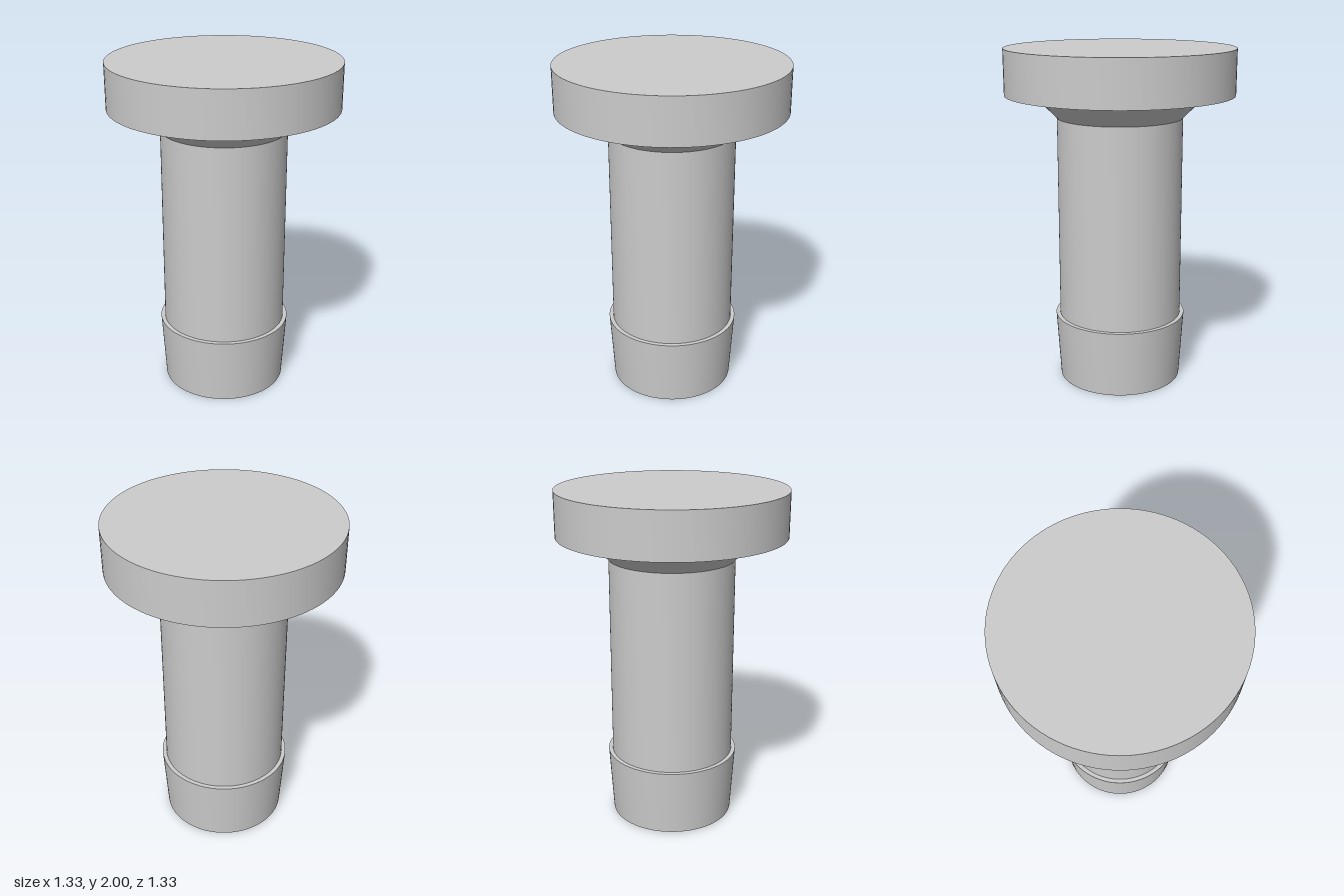
import * as THREE from 'three';
import { toCreasedNormals } from 'three/addons/utils/BufferGeometryUtils.js';

const SEGMENTS = 96;

// Turned part from a [radius, height] profile running bottom to top, with sharp rims
function turned(name, profile, material) {
  const points = profile.map(([r, y]) => new THREE.Vector2(r, y));
  const geometry = toCreasedNormals(new THREE.LatheGeometry(points, SEGMENTS), Math.PI / 9);
  const mesh = new THREE.Mesh(geometry, material);
  mesh.name = name;
  return mesh;
}

export function createModel() {
  const material = new THREE.MeshStandardMaterial({ color: 0xcccccc });
  const shaftR = 0.367, barbR = 0.392, neckR = 0.5, headR = 0.667;
  const barbTop = 0.4, shaftTop = 1.6, headBottom = 1.735, headTop = 2;

  const group = new THREE.Group();
  group.name = 'pushPin';
  group.add(
    // Tapered tip, closed below, with a narrow ledge around the shaft
    turned('barbedTip', [[0, 0], [shaftR, 0], [barbR, barbTop], [shaftR, barbTop]], material),
    turned('shaft', [[shaftR, barbTop], [shaftR, shaftTop]], material),
    // Cone flaring out under the head
    turned('flaredNeck', [[shaftR, shaftTop], [neckR, headBottom]], material),
    // Flat disc head
    turned('head', [[neckR, headBottom], [headR, headBottom], [headR, headTop], [0, headTop]], material),
  );
  return group;
}
